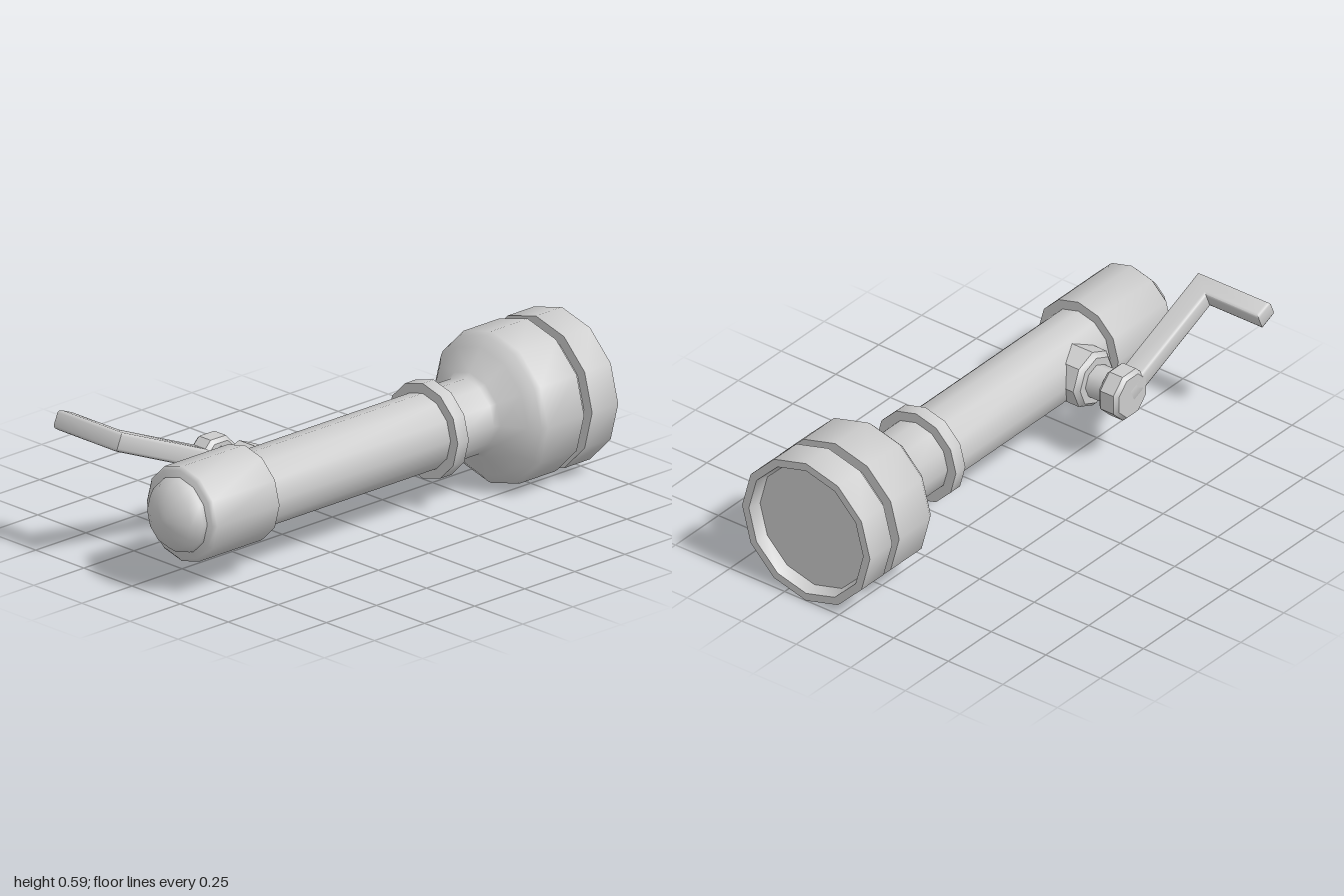
import * as THREE from 'three';
import { toCreasedNormals } from 'three/addons/utils/BufferGeometryUtils.js';

const material = new THREE.MeshStandardMaterial({ color: 0xcccccc });
const AXIS_X = 0.152, AXIS_Y = 0.295, PIVOT_Z = 0.44;

function part(name, geometry, crease = 0.95) {
  const mesh = new THREE.Mesh(toCreasedNormals(geometry, crease), material);
  mesh.name = name;
  return mesh;
}

// Turned solid from [radius, position] pairs, running up the y axis
function turned(profile, sides) {
  return new THREE.LatheGeometry(profile.map(([r, p]) => new THREE.Vector2(r, p)), sides);
}

export function createModel() {
  const model = new THREE.Group();
  model.name = 'crankTorch';

  // Body: every piece shares one axis along z
  const body = new THREE.Group();
  body.name = 'body';
  body.position.set(AXIS_X, AXIS_Y, 0);
  model.add(body);
  const pieces = {
    head: [[0, -0.95], [0.25, -0.95], [0.262, -1], [0.293, -1], [0.293, -0.87], [0.25, -0.87],
      [0.25, -0.83], [0.293, -0.83], [0.293, -0.65], [0.28, -0.63], [0.245, -0.595],
      [0.162, -0.54], [0.145, -0.52], [0.145, -0.34]],
    tube: [[0.145, -0.35], [0.145, 0.6]],
    collar: [[0.14, -0.36], [0.183, -0.36], [0.183, -0.305], [0.14, -0.305]],
    grip: [[0.14, 0.585], [0.183, 0.585], [0.183, 0.895], [0.17, 0.908], [0, 0.908]],
    endButton: [[0.145, 0.9], [0.14, 0.925], [0.115, 0.96], [0.07, 0.986], [0.03, 0.997], [0, 1]],
  };
  for (const [name, profile] of Object.entries(pieces)) {
    body.add(part(name, turned(profile, 12).rotateX(Math.PI / 2)));
  }

  // Crank: a boss and shaft on the side, then the tilted arm
  const crank = new THREE.Group();
  crank.name = 'crank';
  crank.position.set(0, AXIS_Y, PIVOT_Z);
  model.add(crank);
  const boss = [[0, -0.045], [0.095, -0.045], [0.113, -0.027], [0.113, 0.09], [0, 0.09]];
  const shaft = [[0.065, -0.15], [0.065, -0.03]];
  crank.add(part('boss', turned(boss, 8).rotateZ(-Math.PI / 2), 0.7));
  crank.add(part('shaft', turned(shaft, 8).rotateZ(-Math.PI / 2), 0.85));

  const lever = new THREE.Group();
  lever.name = 'lever';
  lever.position.x = -0.165;
  lever.rotation.x = -0.398;
  crank.add(lever);
  const hub = [[0, -0.045], [0.085, -0.045], [0.1, -0.03], [0.1, 0.03], [0.085, 0.045], [0, 0.045]];
  lever.add(part('leverHub', turned(hub, 8).rotateZ(-Math.PI / 2), 0.7));

  // Arm and handle as one bevelled L
  const outline = new THREE.Shape([
    [-0.045, 0], [0.045, 0], [0.045, 0.552], [-0.285, 0.552], [-0.285, 0.477], [-0.045, 0.477],
  ].map(([x, y]) => new THREE.Vector2(x, y)));
  const bevel = 0.012, thickness = 0.072;
  const arm = new THREE.ExtrudeGeometry(outline, {
    depth: thickness - 2 * bevel, bevelSize: bevel, bevelThickness: bevel,
    bevelOffset: -bevel, bevelSegments: 2,
  });
  arm.translate(0, 0, bevel - thickness / 2).rotateX(Math.PI / 2);
  lever.add(part('armAndHandle', arm, 0.9));

  return model;
}
